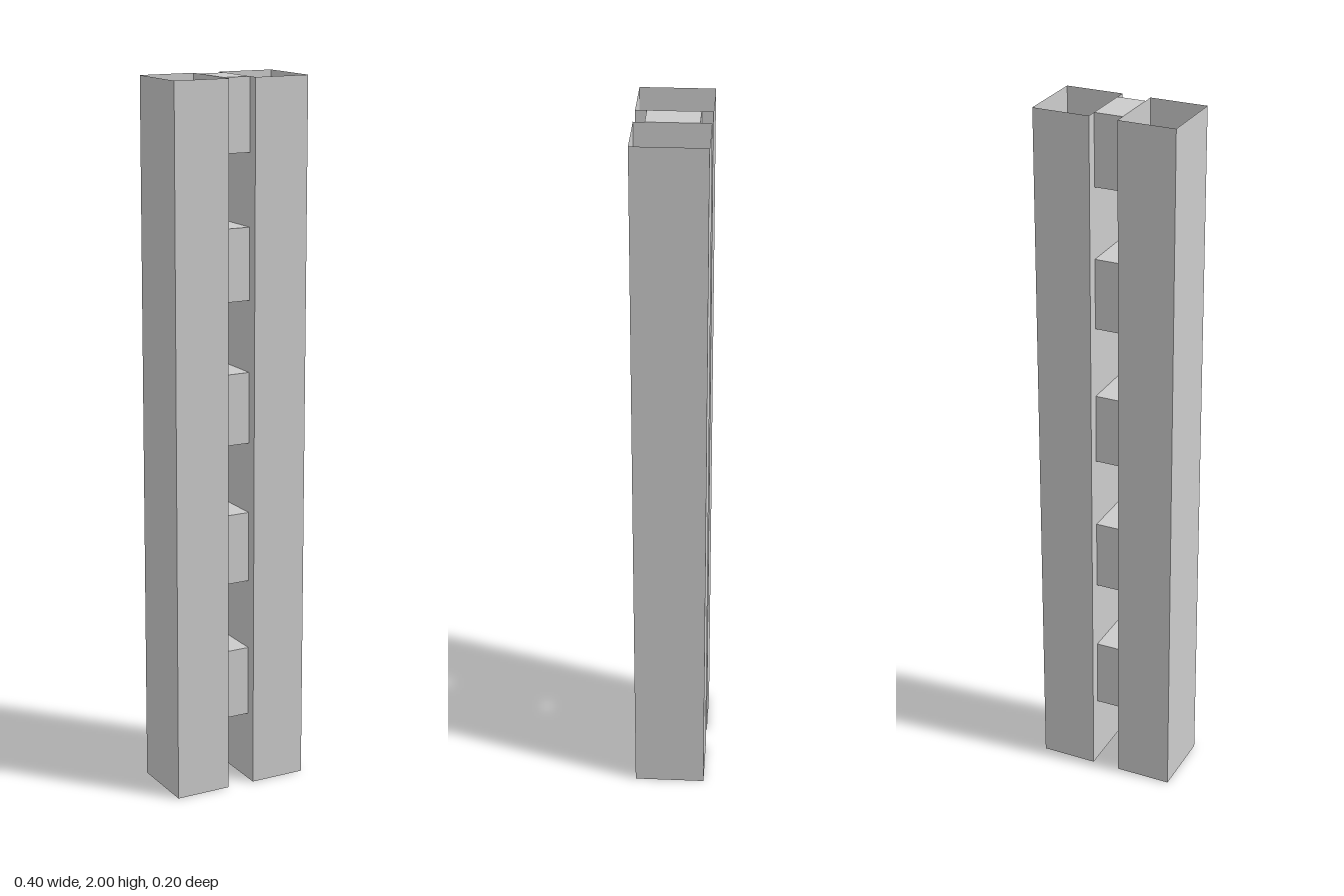
import * as THREE from 'three';

const HEIGHT = 2;
const POST_WIDTH = 0.16, POST_DEPTH = 0.2, POST_X = 0.12;
const RUNG_WIDTH = 0.08, RUNG_HEIGHT = 0.2, RUNG_DEPTH = 0.14;

// Thin-walled box with a floor and no lid
function openTopBox(width, height, depth) {
  const geometry = new THREE.BoxGeometry(width, height, depth);
  const index = Array.from(geometry.index.array);
  index.splice(12, 6); // the lid is the third face of the box
  geometry.setIndex(index);
  geometry.clearGroups();
  return geometry;
}

export function createModel() {
  const model = new THREE.Group();
  model.name = 'battenedColumn';
  const solid = new THREE.MeshStandardMaterial({ color: 0xcccccc });
  const thin = new THREE.MeshStandardMaterial({ color: 0xcccccc, side: THREE.DoubleSide });

  // Two hollow posts, open at the top
  const postGeometry = openTopBox(POST_WIDTH, HEIGHT, POST_DEPTH);
  for (const [name, side] of [['leftPost', 1], ['rightPost', -1]]) {
    const post = new THREE.Mesh(postGeometry, thin);
    post.name = name;
    post.position.set(side * POST_X, HEIGHT / 2, 0);
    model.add(post);
  }

  // Five evenly spaced blocks joining the posts
  const blockGeometry = new THREE.BoxGeometry(RUNG_WIDTH, RUNG_HEIGHT, RUNG_DEPTH);
  for (let i = 0; i < 5; i++) {
    const block = new THREE.Mesh(blockGeometry, solid);
    block.name = `connectingBlock${i + 1}`;
    block.position.y = 0.3 + i * 0.4;
    model.add(block);
  }

  return model;
}
